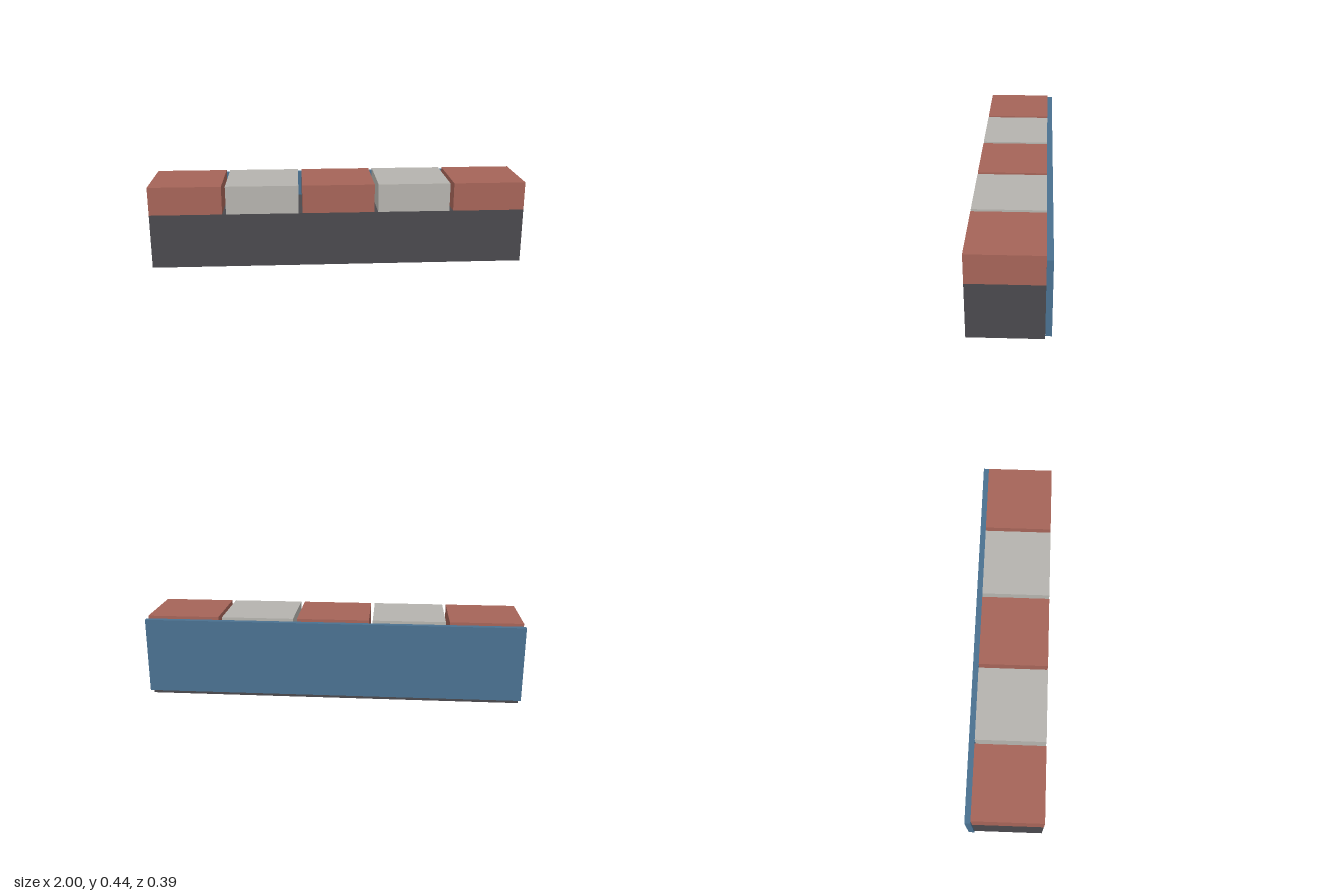
import * as THREE from 'three';

const mat = (name, color, side = THREE.FrontSide) => {
  const m = new THREE.MeshStandardMaterial({ color, side });
  m.name = name;
  return m;
};

export function createModel() {
  const model = new THREE.Group();
  model.name = 'blockBarrier';
  const coral = mat('brick red', 0xa56458);
  const grey = mat('light grey', 0xb5b3ae);
  const dark = mat('charcoal', 0x4a494d, THREE.DoubleSide);
  const blue = mat('steel blue', 0x4a7190);

  const add = (name, geometry, material, x, y, z) => {
    const mesh = new THREE.Mesh(geometry, material);
    mesh.name = name;
    mesh.position.set(x, y, z);
    model.add(mesh);
    return mesh;
  };

  const width = 1.98, depth = 0.36, z = 0.015;
  const cavity = 0.145, baseTop = 0.29, top = 0.44;

  // Solid upper half of the base
  add('baseSlab', new THREE.BoxGeometry(width, baseTop - cavity, depth), dark,
    0, (cavity + baseTop) / 2, z);

  // Thin skirt around the hollow underside
  for (const s of [-1, 1]) {
    const long = add('baseLongWall', new THREE.PlaneGeometry(width, cavity), dark,
      0, cavity / 2, z + s * depth / 2);
    long.rotation.y = s > 0 ? 0 : Math.PI;
    const end = add('baseEndWall', new THREE.PlaneGeometry(depth, cavity), dark,
      s * width / 2, cavity / 2, z);
    end.rotation.y = s * Math.PI / 2;
  }

  // Five alternating blocks with narrow gaps
  for (let i = -2; i <= 2; i++) {
    add('topBlock', new THREE.BoxGeometry(0.38, top - baseTop, depth),
      i % 2 === 0 ? coral : grey, i * 0.4, (baseTop + top) / 2, z);
  }

  // Back panel, slightly wider than the base
  add('backPanel', new THREE.BoxGeometry(2, 0.4, 0.03), blue, 0, 0.225, -0.18);

  return model;
}
